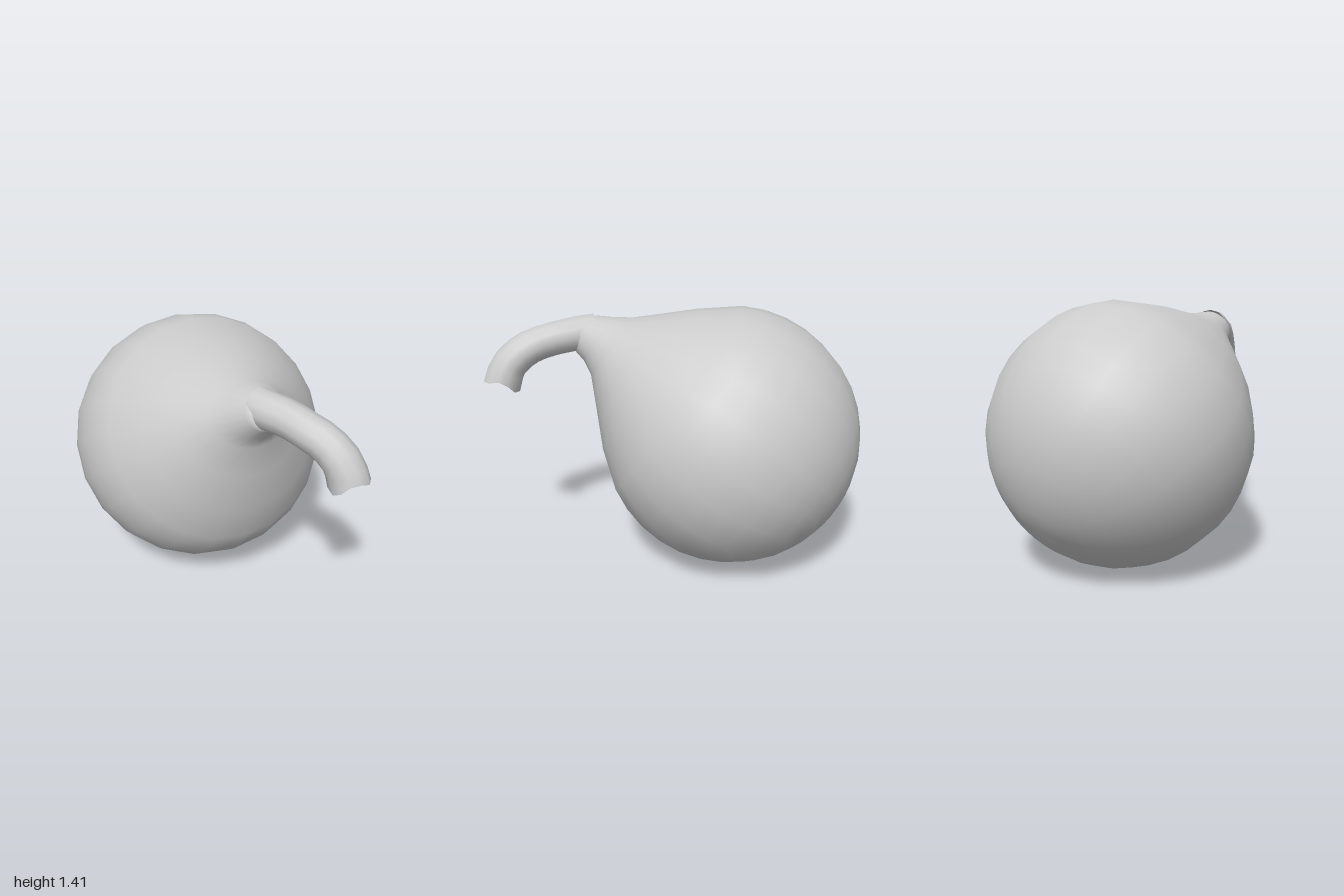
import * as THREE from 'three';
import { mergeVertices } from 'three/addons/utils/BufferGeometryUtils.js';

const material = new THREE.MeshStandardMaterial({ color: 0xcccccc, side: THREE.DoubleSide });

// Smooth skin through rings { c, u, v }: centre and two half-axes, with u x v pointing along the loft
function loft(rings, sides, shift = () => new THREE.Vector3()) {
  const pos = [], index = [];
  rings.forEach(({ c, u, v }, i) => {
    for (let k = 0; k < sides; k++) {
      const a = (k / sides) * Math.PI * 2;
      const p = c.clone().addScaledVector(u, Math.cos(a)).addScaledVector(v, Math.sin(a)).add(shift(i, a));
      pos.push(p.x, p.y, p.z);
      if (i === 0) continue;
      const n = (k + 1) % sides, lo = (i - 1) * sides, hi = i * sides;
      index.push(lo + k, lo + n, hi + n, lo + k, hi + n, hi + k);
    }
  });
  let g = new THREE.BufferGeometry();
  g.setAttribute('position', new THREE.Float32BufferAttribute(pos, 3));
  g.setIndex(index);
  g = mergeVertices(g, 1e-4);
  g.computeVertexNormals();
  return g;
}

function add(group, name, geometry) {
  const mesh = new THREE.Mesh(geometry, material);
  mesh.name = name;
  group.add(mesh);
}

// Ring from its top and bottom points (z, y) and its half width
function ring(tz, ty, bz, by, w) {
  return {
    c: new THREE.Vector3(0, (ty + by) / 2, (tz + bz) / 2),
    u: new THREE.Vector3(0, (ty - by) / 2, (tz - bz) / 2),
    v: new THREE.Vector3(-w, 0, 0),
  };
}

export function createModel() {
  const group = new THREE.Group();
  group.name = 'gourd';

  // Round body: sphere about a tilted axis, drawn out into a neck
  const R = 0.705, tilt = 0.6, cz = -0.295;
  const rings = [];
  for (let deg = 180; deg >= 60; deg -= 10) {
    const t = THREE.MathUtils.degToRad(deg);
    rings.push(ring(
      cz + R * Math.cos(tilt + t), R + R * Math.sin(tilt + t),
      cz + R * Math.cos(tilt - t), R + R * Math.sin(tilt - t),
      R * Math.sin(t)));
  }
  rings.push(
    ring(-0.1, 1.388, 0.405, 0.62, 0.48),
    ring(0.08, 1.36, 0.44, 0.85, 0.345),
    ring(0.25, 1.335, 0.468, 1.03, 0.225),
    ring(0.36, 1.338, 0.51, 1.1, 0.15),
    ring(0.46, 1.345, 0.575, 1.17, 0.108),
    ring(0.5, 1.335, 0.585, 1.18, 0.08));
  add(group, 'body', loft(rings, 22));

  // Stem: bent tube with a ragged end
  const curve = new THREE.CatmullRomCurve3([
    [-0.01, 1.255, 0.46], [0.015, 1.255, 0.52], [0.07, 1.245, 0.61], [0.12, 1.22, 0.72],
    [0.17, 1.185, 0.8], [0.215, 1.11, 0.875], [0.235, 1.02, 0.905],
  ].map((p) => new THREE.Vector3(...p)));
  const up = new THREE.Vector3(0, 1, 0), steps = 10, sides = 12;
  const stem = [];
  for (let i = 0; i <= steps; i++) {
    const f = i / steps, r = 0.1 - 0.009 * Math.sin(f * Math.PI);
    const t = curve.getTangent(f);
    const s = t.clone().cross(up).normalize();
    const n = s.clone().cross(t);
    stem.push({ c: curve.getPoint(f), u: n.multiplyScalar(r), v: s.multiplyScalar(r) });
  }
  const along = curve.getTangent(1);
  const ragged = (a) => along.clone().multiplyScalar(0.018 * Math.cos(3 * a + 0.5));
  add(group, 'stem', loft(stem, sides, (i, a) => (i === steps ? ragged(a) : new THREE.Vector3())));

  // Hollowed, star-shaped cut face of the stem
  const rim = stem[steps];
  const cut = [[1, 0], [0.55, -0.025], [0, -0.035]].map(([k, d]) => ({
    c: rim.c.clone().addScaledVector(along, d),
    u: rim.u.clone().multiplyScalar(k),
    v: rim.v.clone().multiplyScalar(k),
  }));
  add(group, 'stemCut', loft(cut, sides, (i, a) => ragged(a).multiplyScalar(1 - i / 2)));

  return group;
}
